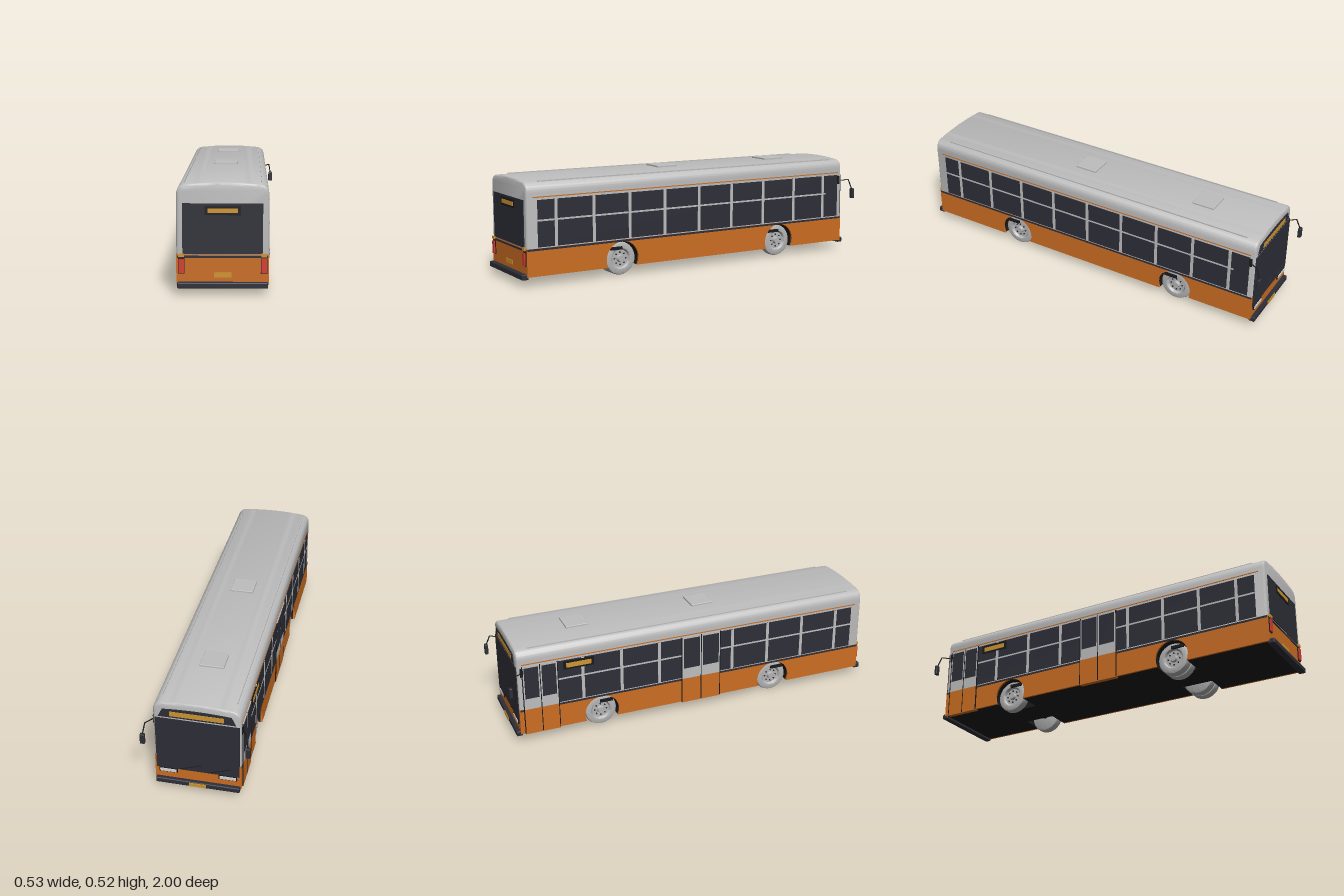
import * as THREE from 'three';
import { toCreasedNormals } from 'three/addons/utils/BufferGeometryUtils.js';
import { RoundedBoxGeometry } from 'three/addons/geometries/RoundedBoxGeometry.js';

const mat = (name, color) => Object.assign(new THREE.MeshStandardMaterial({ color }), { name });

export function createModel() {
  const bus = new THREE.Group();
  bus.name = 'bus';
  const grey = mat('light grey', 0xbebebe);
  const orange = mat('orange', 0xcc6e22);
  const glass = mat('dark glass', 0x2e2e38);
  const black = mat('black', 0x1a1a1d);
  const amber = mat('amber', 0xcf9630);
  const red = mat('red', 0xd63c32);
  const tyre = mat('wheel grey', 0xb4b4b4);
  const white = mat('lamp white', 0xd8d8d8);

  const add = (name, geo, material, parent = bus) => {
    const m = new THREE.Mesh(geo, material);
    m.name = name;
    parent.add(m);
    return m;
  };
  // Box given by its limits on each axis
  const box = (name, material, x0, x1, y0, y1, z0, z1, radius = 0) => {
    const s = [Math.abs(x1 - x0), y1 - y0, Math.abs(z1 - z0)];
    const geo = radius ? new RoundedBoxGeometry(...s, 2, radius) : new THREE.BoxGeometry(...s);
    const m = add(name, geo, material);
    m.position.set((x0 + x1) / 2, (y0 + y1) / 2, (z0 + z1) / 2);
    return m;
  };
  const rod = (name, points, r, material) => {
    const path = new THREE.CurvePath();
    for (let i = 1; i < points.length; i++) {
      path.add(new THREE.LineCurve3(new THREE.Vector3(...points[i - 1]), new THREE.Vector3(...points[i])));
    }
    return add(name, new THREE.TubeGeometry(path, 24, r, 6), material);
  };

  const REAR = 0.975, FRONT = -0.945, HALF = 0.21, FLOOR = 0.048, WAIST = 0.18;
  const axles = [-0.515, 0.455];

  // Upper shell: arched roof section with softened ends
  const bevel = 0.012, w = HALF - bevel;
  const section = new THREE.Shape();
  section.moveTo(-w, WAIST + bevel);
  section.lineTo(w, WAIST + bevel);
  section.lineTo(w, 0.455);
  section.bezierCurveTo(w, 0.48, 0.188, 0.491, 0.165, 0.494);
  section.quadraticCurveTo(0, 0.512, -0.165, 0.494);
  section.bezierCurveTo(-0.188, 0.491, -w, 0.48, -w, 0.455);
  section.closePath();
  const shell = new THREE.ExtrudeGeometry(section, {
    depth: REAR - FRONT - 2 * bevel, bevelSize: bevel, bevelThickness: bevel, bevelSegments: 4, curveSegments: 14,
  });
  shell.translate(0, 0, FRONT + bevel);
  add('upperBody', toCreasedNormals(shell, 0.6), grey);

  // Side outline with wheel arches cut out of the lower edge
  const archOutline = (z0, z1, top) => {
    const r = 0.091, cy = 0.085, a = Math.asin((cy - FLOOR) / r);
    const s = new THREE.Shape();
    s.moveTo(z0, FLOOR);
    for (const z of axles) {
      s.lineTo(z - r * Math.cos(a), FLOOR);
      s.absarc(z, cy, r, Math.PI + a, -a, true);
    }
    s.lineTo(z1, FLOOR);
    s.lineTo(z1, top);
    s.lineTo(z0, top);
    s.closePath();
    return s;
  };
  const slab = (name, material, x0, x1, z0, z1, top) => {
    const g = new THREE.ExtrudeGeometry(archOutline(z0, z1, top), {
      depth: x1 - x0, bevelEnabled: false, curveSegments: 28,
    });
    g.rotateY(-Math.PI / 2);
    g.translate(x1, 0, 0);
    add(name, toCreasedNormals(g, 0.5), material);
  };
  slab('leftSkirt', orange, HALF - 0.01, HALF, FRONT, REAR, WAIST + 0.005);
  slab('rightSkirt', orange, -HALF, -HALF + 0.01, FRONT, REAR, WAIST + 0.005);
  slab('chassis', black, -HALF + 0.01, HALF - 0.01, FRONT + 0.01, REAR - 0.01, WAIST + 0.004);
  box('centreFloor', black, -0.085, 0.085, FLOOR, 0.17, FRONT + 0.02, REAR - 0.02);
  box('rearPanel', orange, -0.2, 0.2, FLOOR, WAIST + 0.005, REAR - 0.01, REAR);
  box('frontPanel', orange, -0.2, 0.2, FLOOR, WAIST + 0.005, FRONT, FRONT + 0.01);

  // Side glazing, bars and trim
  const pillars = [0.82, 0.615, 0.413, 0.21, 0.003, -0.2, -0.405, -0.61, -0.813];
  const doors = [[-0.92, -0.74], [-0.075, 0.14]];
  for (const s of [1, -1]) {
    const side = s > 0 ? 'left' : 'right';
    const plate = (name, m, y0, y1, z0, z1, out) => box(side + name, m, s * (HALF - 0.004), s * (HALF + out), y0, y1, z0, z1);
    plate('Windows', glass, 0.19, 0.42, -0.917, 0.917, 0.002);
    plate('WaistStripe', glass, 0.174, 0.184, FRONT + 0.004, REAR - 0.004, 0.0015);
    plate('UpperStripe', orange, 0.431, 0.436, -0.92, 0.94, 0.0015);
    plate('WindowBar', grey, 0.316, 0.325, s > 0 ? -0.835 : -0.74, 0.917, 0.003);
    for (const z of pillars) {
      if (s < 0 && doors.some(([a, b]) => z > a && z < b)) continue;
      plate('Pillar', grey, 0.19, 0.42, z - 0.008, z + 0.008, 0.0035);
    }
    box(side + 'RoofRail', grey, s * 0.176, s * 0.18, 0.495, 0.509, -0.88, 0.9);
  }

  // Two-leaf doors on the right side
  for (const [a, b] of doors) {
    const x = -HALF, mid = (a + b) / 2;
    box('doorFrame', grey, x + 0.004, x - 0.004, WAIST + 0.004, 0.425, a, b);
    box('doorLower', orange, x + 0.02, x - 0.004, FLOOR - 0.004, WAIST + 0.004, a, b);
    for (const [p, q] of [[a, mid], [mid, b]]) {
      box('doorGlass', glass, x, x - 0.006, 0.245, 0.415, p + 0.009, q - 0.009);
    }
    for (const z of [a, mid, b]) box('doorSeam', black, x, x - 0.005, FLOOR, 0.425, z - 0.002, z + 0.002);
  }
  box('sideSignFrame', black, -HALF, -HALF - 0.004, 0.368, 0.415, -0.71, -0.55);
  box('sideSign', amber, -HALF, -HALF - 0.006, 0.378, 0.403, -0.695, -0.565);

  // Rear face
  const rear = (name, m, x0, x1, y0, y1, out) => box(name, m, x0, x1, y0, y1, REAR - 0.004, REAR + out);
  rear('rearWindow', glass, -0.182, 0.182, 0.19, 0.42, 0.003);
  rear('rearWaistStripe', glass, -0.205, 0.205, 0.172, 0.181, 0.003);
  rear('rearSignFrame', black, -0.082, 0.082, 0.367, 0.409, 0.006);
  rear('rearSign', amber, -0.068, 0.068, 0.378, 0.398, 0.008);
  rear('rearPlate', amber, -0.04, 0.04, 0.083, 0.104, 0.004);
  for (const s of [1, -1]) {
    rear('tailLightFrame', black, s * 0.172, s * 0.202, 0.1, 0.17, 0.004);
    rear('tailLight', red, s * 0.175, s * 0.199, 0.103, 0.167, 0.01);
    rear('rearIndicator', amber, s * 0.175, s * 0.2, 0.177, 0.192, 0.01);
  }
  box('rearBumper', glass, -0.205, 0.205, 0.035, 0.062, 0.965, 1.0, 0.005);

  // Front face
  const front = (name, m, x0, x1, y0, y1, out) => box(name, m, x0, x1, y0, y1, FRONT + 0.004, FRONT - out);
  front('windscreen', glass, -0.202, 0.202, 0.12, 0.42, 0.004);
  const band = new THREE.Shape();
  band.moveTo(-0.185, 0.43);
  band.lineTo(-0.165, 0.473);
  band.quadraticCurveTo(0, 0.488, 0.165, 0.473);
  band.lineTo(0.185, 0.43);
  band.closePath();
  add('frontSignBand', new THREE.ExtrudeGeometry(band, { depth: 0.008, bevelEnabled: false }), glass)
    .position.z = FRONT - 0.004;
  front('frontSign', amber, -0.13, 0.13, 0.439, 0.465, 0.006);
  for (const s of [1, -1]) {
    front('headlightFrame', black, s * 0.1, s * 0.19, 0.097, 0.121, 0.006);
    front('headlight', white, s * 0.105, s * 0.185, 0.101, 0.117, 0.009);
  }
  for (const x of [0.09, -0.05]) {
    rod('wiper', [[x, 0.125, FRONT - 0.007], [x - 0.11, 0.165, FRONT - 0.007]], 0.002, black);
  }
  box('frontBumper', glass, -0.205, 0.205, 0.035, 0.062, FRONT + 0.012, -0.965, 0.005);
  box('frontPlate', amber, -0.042, 0.042, 0.039, 0.058, -0.96, -0.968);

  // Mirrors on bent arms
  for (const s of [1, -1]) {
    box('mirrorMount', black, s * 0.205, s * 0.215, 0.37, 0.415, -0.93, -0.915);
    rod('mirrorArm', [[s * 0.212, 0.39, -0.92], [s * 0.243, 0.395, -0.97], [s * 0.252, 0.34, -0.99]], 0.003, black);
    box('mirror', glass, s * 0.24, s * 0.264, 0.29, 0.345, -0.982, -1.0, 0.004);
  }

  // Roof hatches
  for (const z of [-0.583, 0.102]) box('roofHatch', grey, -0.06, 0.06, 0.5, 0.524, z - 0.06, z + 0.06, 0.003);

  // Wheels: lathed tyre with a dished rim, then hub and bolts
  const R = 0.084;
  const profile = [[0, 0.012], [0.045, 0.012], [0.053, 0.024], [0.07, 0.025], [0.08, 0.021], [R, 0.012],
    [R, -0.012], [0.08, -0.021], [0.07, -0.025], [0, -0.025]].map(([r, y]) => new THREE.Vector2(r, y)).reverse();
  const tyreGeo = toCreasedNormals(new THREE.LatheGeometry(profile, 36), 0.7);
  const wheel = (x, z, s) => {
    const g = new THREE.Group();
    g.name = 'wheel';
    add('tyre', tyreGeo, tyre, g);
    add('hub', new THREE.CylinderGeometry(0.015, 0.02, 0.014, 20), tyre, g).position.y = 0.018;
    for (let i = 0; i < 8; i++) {
      const a = i * Math.PI / 4;
      add('bolt', new THREE.CylinderGeometry(0.004, 0.004, 0.006, 6), glass, g)
        .position.set(0.032 * Math.cos(a), 0.014, 0.032 * Math.sin(a));
    }
    g.rotation.z = -s * Math.PI / 2;
    g.position.set(x, R, z);
    bus.add(g);
  };
  for (const s of [1, -1]) {
    for (const z of axles) wheel(s * 0.166, z, s);
    wheel(s * 0.115, axles[1], s);
    for (const z of axles) box('archBracket', black, s * 0.19, s * 0.2, 0.132, 0.147, z - 0.005, z + 0.062);
  }
  for (const z of axles) {
    add('axle', new THREE.CylinderGeometry(0.015, 0.015, 0.32, 12).rotateZ(Math.PI / 2), black).position.set(0, R, z);
  }
  return bus;
}
